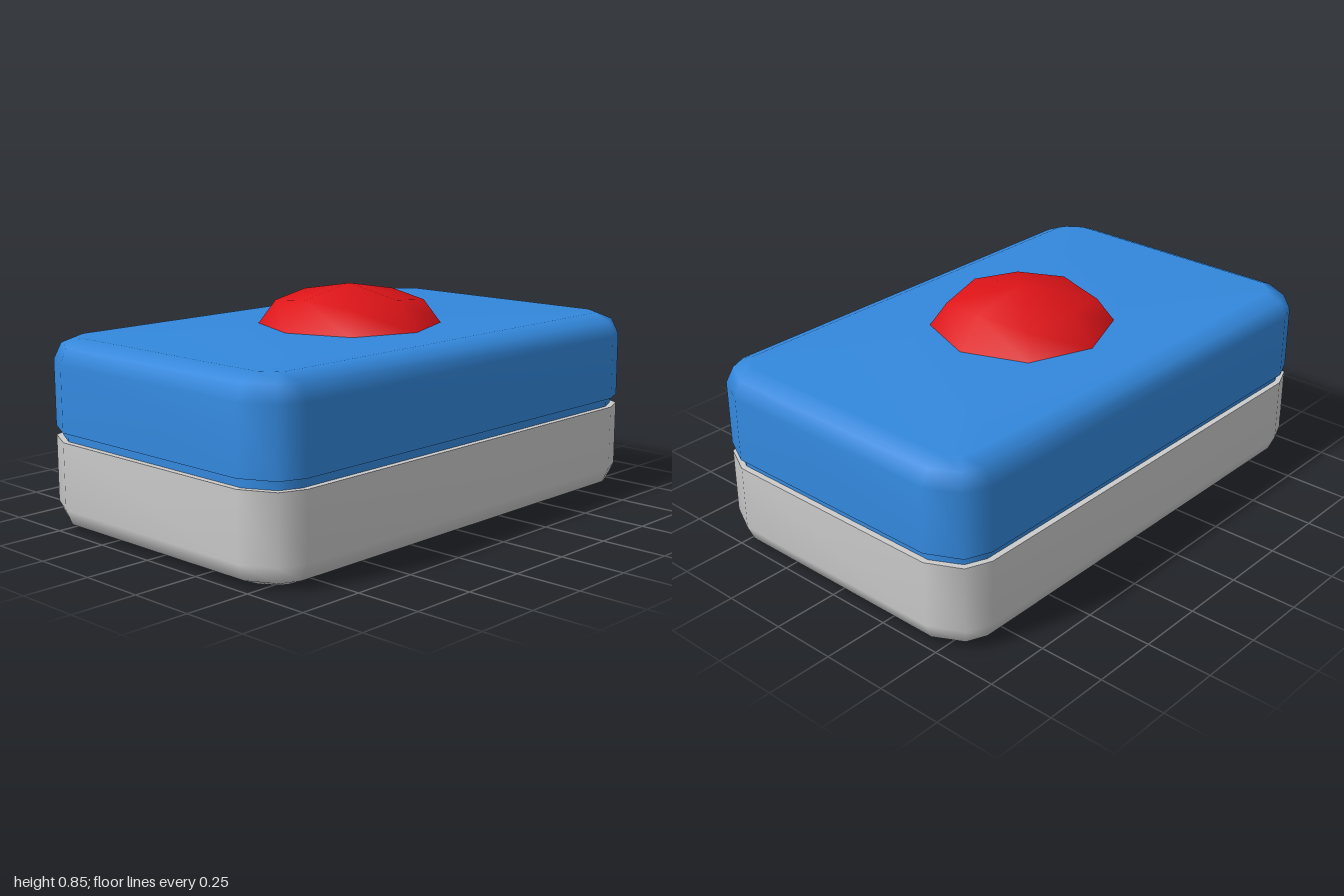
import * as THREE from 'three';

// Skin a stack of closed rings (bottom to top); equal neighbours make a sharp edge.
// bottomY / topY give the height of the end-cap centres.
function loft(name, rings, bottomY, topY, color) {
  const n = rings[0].length, last = (rings.length - 1) * n;
  const pos = rings.flat(2), index = [];
  const bottom = rings.length * n, top = bottom + 1;
  pos.push(0, bottomY, 0, 0, topY, 0);
  for (let i = 0; i < n; i++) {
    const j = (i + 1) % n;
    for (let r = 0; r < rings.length - 1; r++) {
      if (rings[r] === rings[r + 1]) continue;
      const a = r * n + i, b = r * n + j, c = b + n, d = a + n;
      index.push(a, d, c, a, c, b);
    }
    index.push(bottom, i, j, top, last + j, last + i);
  }
  const geometry = new THREE.BufferGeometry();
  geometry.setAttribute('position', new THREE.Float32BufferAttribute(pos, 3));
  geometry.setIndex(index);
  geometry.computeVertexNormals();
  const mesh = new THREE.Mesh(geometry, new THREE.MeshStandardMaterial({ color }));
  mesh.name = name;
  return mesh;
}

// Rounded rectangle ring at height y, pulled in by d
function bodyRing(y, d) {
  const q = [[1 - d, 0.455], [0.938 - 0.75 * d, 0.58 - 0.75 * d], [0.845, 0.618 - d]];
  const ring = [];
  for (const [sx, sz] of [[1, 1], [-1, 1], [-1, -1], [1, -1]]) {
    const corner = sx * sz > 0 ? q : [...q].reverse();
    for (const [x, z] of corner) ring.push([sx * x, y, sz * z]);
  }
  return ring;
}

// Eight-point ring alternating between axis points and diagonal points
function domeRing(axisR, axisY, diagR, diagY) {
  return Array.from({ length: 8 }, (_, i) => {
    const a = i * Math.PI / 4, r = i % 2 ? diagR : axisR;
    return [r * Math.cos(a), i % 2 ? diagY : axisY, r * Math.sin(a)];
  });
}

export function createModel() {
  const group = new THREE.Group();
  const blue = 0x3388dd, red = 0xdd1418;

  // Lower half: soft bottom edge, sharp seam edge
  const baseTop = bodyRing(0.335, 0);
  group.add(loft('base', [bodyRing(0, 0.09), bodyRing(0.027, 0.027), bodyRing(0.087, 0), baseTop, baseTop],
    0, 0.335, 0xcccccc));

  // Recessed band between the halves
  const bandLow = bodyRing(0.32, 0.023), bandHigh = bodyRing(0.38, 0.023);
  group.add(loft('seamBand', [bandLow, bandLow, bandHigh, bandHigh], 0.32, 0.38, blue));

  // Upper half
  const lidBottom = bodyRing(0.37, 0);
  group.add(loft('lid', [lidBottom, lidBottom, bodyRing(0.615, 0), bodyRing(0.675, 0.027), bodyRing(0.702, 0.09)],
    0.37, 0.702, blue));

  // Domed button
  const domeBase = domeRing(0.338, 0.7, 0.345, 0.7);
  group.add(loft('domeButton', [domeBase, domeBase, domeRing(0.24, 0.811, 0.279, 0.79)], 0.7, 0.853, red));

  return group;
}
